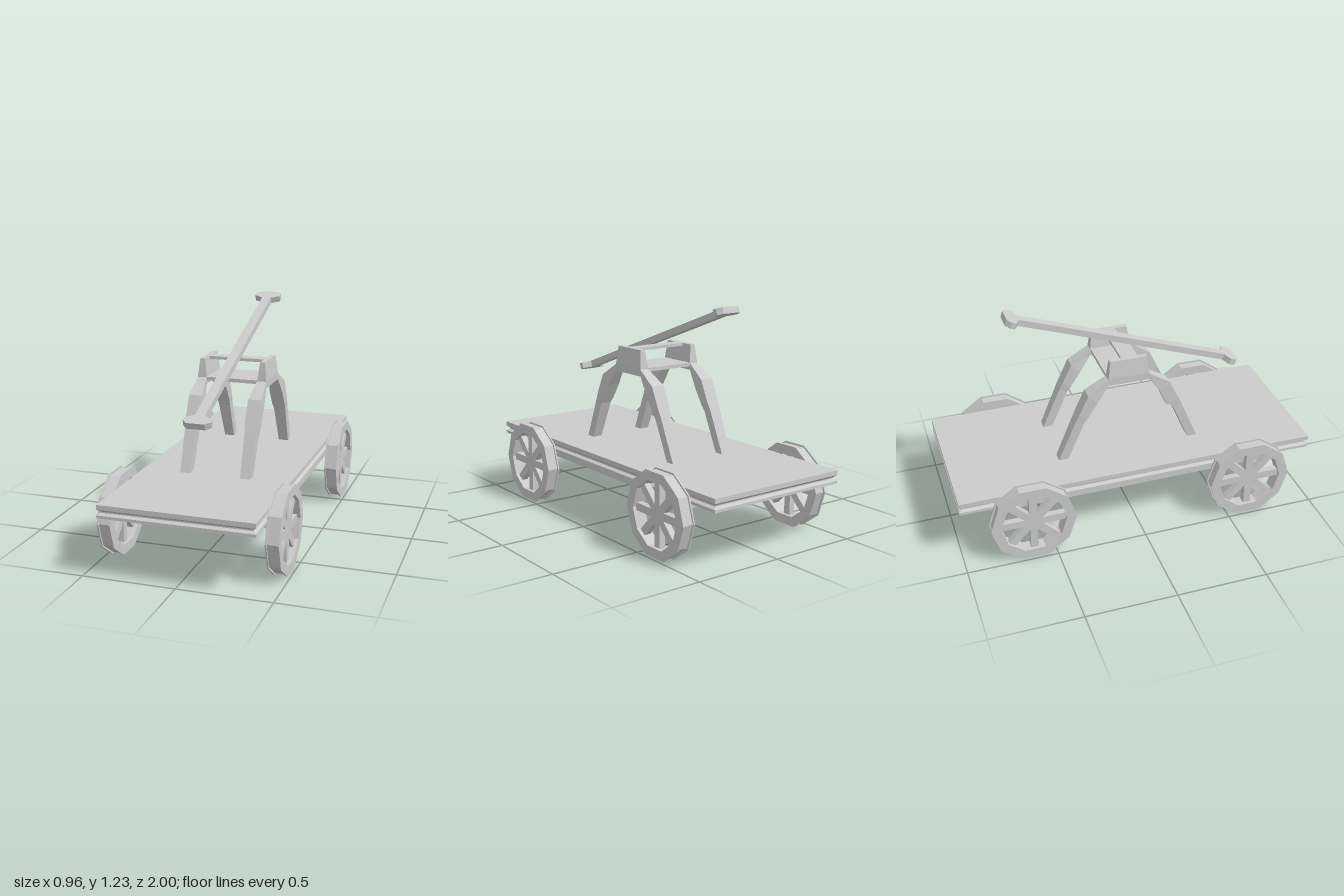
import * as THREE from 'three';

const material = new THREE.MeshStandardMaterial({ color: 0xcccccc, flatShading: true, side: THREE.DoubleSide });

function add(parent, name, geometry, x = 0, y = 0, z = 0) {
  const mesh = new THREE.Mesh(geometry, material);
  mesh.name = name;
  mesh.position.set(x, y, z);
  parent.add(mesh);
  return mesh;
}

// Skins four-cornered sections, counter-clockwise about the direction of travel
function loft(sections) {
  const pos = [];
  const quad = (a, b, c, d) => pos.push(...a, ...b, ...c, ...a, ...c, ...d);
  for (let s = 0; s < sections.length - 1; s++) {
    const a = sections[s], b = sections[s + 1];
    for (let i = 0; i < 4; i++) {
      const j = (i + 1) % 4;
      quad(a[i], a[j], b[j], b[i]);
    }
  }
  quad(...[...sections[0]].reverse());
  quad(...sections[sections.length - 1]);
  const geometry = new THREE.BufferGeometry();
  geometry.setAttribute('position', new THREE.Float32BufferAttribute(pos, 3));
  geometry.computeVertexNormals();
  return geometry;
}

// Horizontal rectangle at height y
const level = (y, x0, x1, hz) => [[x1, y, hz], [x1, y, -hz], [x0, y, -hz], [x0, y, hz]];

// Spoked ten-sided wheel with a flange on each side of the tread
function makeWheel(name, x, z) {
  const wheel = new THREE.Group();
  wheel.name = name;
  wheel.position.set(x, 0.228, z);
  const profile = [
    [0.18, -0.036], [0.234, -0.036], [0.234, -0.028], [0.224, -0.028],
    [0.224, 0.028], [0.234, 0.028], [0.234, 0.036], [0.18, 0.036], [0.18, -0.036],
  ].map(([r, h]) => new THREE.Vector2(r, h));
  add(wheel, 'rim', new THREE.LatheGeometry(profile, 10).rotateZ(-Math.PI / 2));
  for (let i = 0; i < 4; i++) {
    const spoke = add(wheel, 'spokeBar', new THREE.BoxGeometry(0.035, 0.042, 0.355));
    spoke.rotation.x = i * Math.PI / 4;
  }
  return wheel;
}

// Leg sections: outer z, y, inner z, y, then inner and outer x
const legSections = [
  [0.403, 0.395, 0.35, 0.395, 0.14, 0.196],
  [0.304, 0.63, 0.258, 0.61, 0.135, 0.202],
  [0.285, 0.67, 0.235, 0.645, 0.13, 0.205],
  [0.232, 0.783, 0.18, 0.73, 0.13, 0.205],
  [0.115, 0.857, 0.115, 0.82, 0.145, 0.196],
];

function legGeometry(sx, sz) {
  return loft(legSections.map(([zo, yo, zi, yi, xi, xo]) => {
    const section = [[xo, yo, zo], [xo, yi, zi], [xi, yi, zi], [xi, yo, zo]]
      .map(([x, y, z]) => [x * sx, y, z * sz]);
    return sx * sz < 0 ? section.reverse() : section;
  }));
}

export function createModel() {
  const model = new THREE.Group();
  model.name = 'handcar';

  // Platform with a grooved edge, on a shorter bottom slab
  const deckLevels = [[0.325, 0], [0.34, 0], [0.35, 0.017], [0.356, 0.017], [0.37, 0], [0.395, 0]];
  add(model, 'deck', loft(deckLevels.map(([y, inset]) => level(y, inset - 0.41, 0.41 - inset, 1 - inset))));
  add(model, 'underframe', new THREE.BoxGeometry(0.816, 0.03, 1.62), 0, 0.315, 0);

  // Wheels
  for (const sx of [-1, 1]) {
    for (const sz of [-1, 1]) {
      makeWheel(`${sz > 0 ? 'front' : 'back'}${sx > 0 ? 'Left' : 'Right'}Wheel`, sx * 0.446, sz * 0.62);
      model.add(makeWheel(`${sz > 0 ? 'front' : 'back'}${sx > 0 ? 'Left' : 'Right'}Wheel`, sx * 0.446, sz * 0.62));
    }
  }

  // Pump stand: two arched frames joined by a plate and a pivot bar
  const stand = new THREE.Group();
  stand.name = 'pumpStand';
  model.add(stand);
  for (const sx of [-1, 1]) {
    for (const sz of [-1, 1]) add(stand, 'leg', legGeometry(sx, sz));
    const cap = [[0.82, 0.145, 0.196, 0.117], [0.86, 0.145, 0.196, 0.115], [0.96, 0.157, 0.185, 0.103]];
    add(stand, 'frameCap', loft(cap.map(([y, xi, xo, hz]) =>
      level(y, sx > 0 ? xi : -xo, sx > 0 ? xo : -xi, hz))));
  }
  add(stand, 'lowerPlate', new THREE.BoxGeometry(0.3, 0.02, 0.226), 0, 0.85, 0);
  add(stand, 'pivotBar', new THREE.BoxGeometry(0.325, 0.016, 0.068), 0, 0.952, 0);

  // Tilted pump lever with a wide grip at each end
  const half = [[0.027, 0.62], [0.075, 0.645], [0.075, 0.672], [0.05, 0.695]];
  const side = [...half.map(([x, u]) => [x, -u]).reverse(), ...half];
  const outline = [...side, ...side.map(([x, u]) => [-x, u]).reverse()];
  const shape = new THREE.Shape(outline.map(([x, u]) => new THREE.Vector2(x, u)));
  const leverGeometry = new THREE.ExtrudeGeometry(shape, { depth: 0.035, bevelEnabled: false });
  leverGeometry.translate(0, 0, -0.0175);
  const lever = add(model, 'pumpLever', leverGeometry, 0, 0.98, 0.035);
  lever.rotation.x = 0.345 - Math.PI / 2;

  return model;
}
